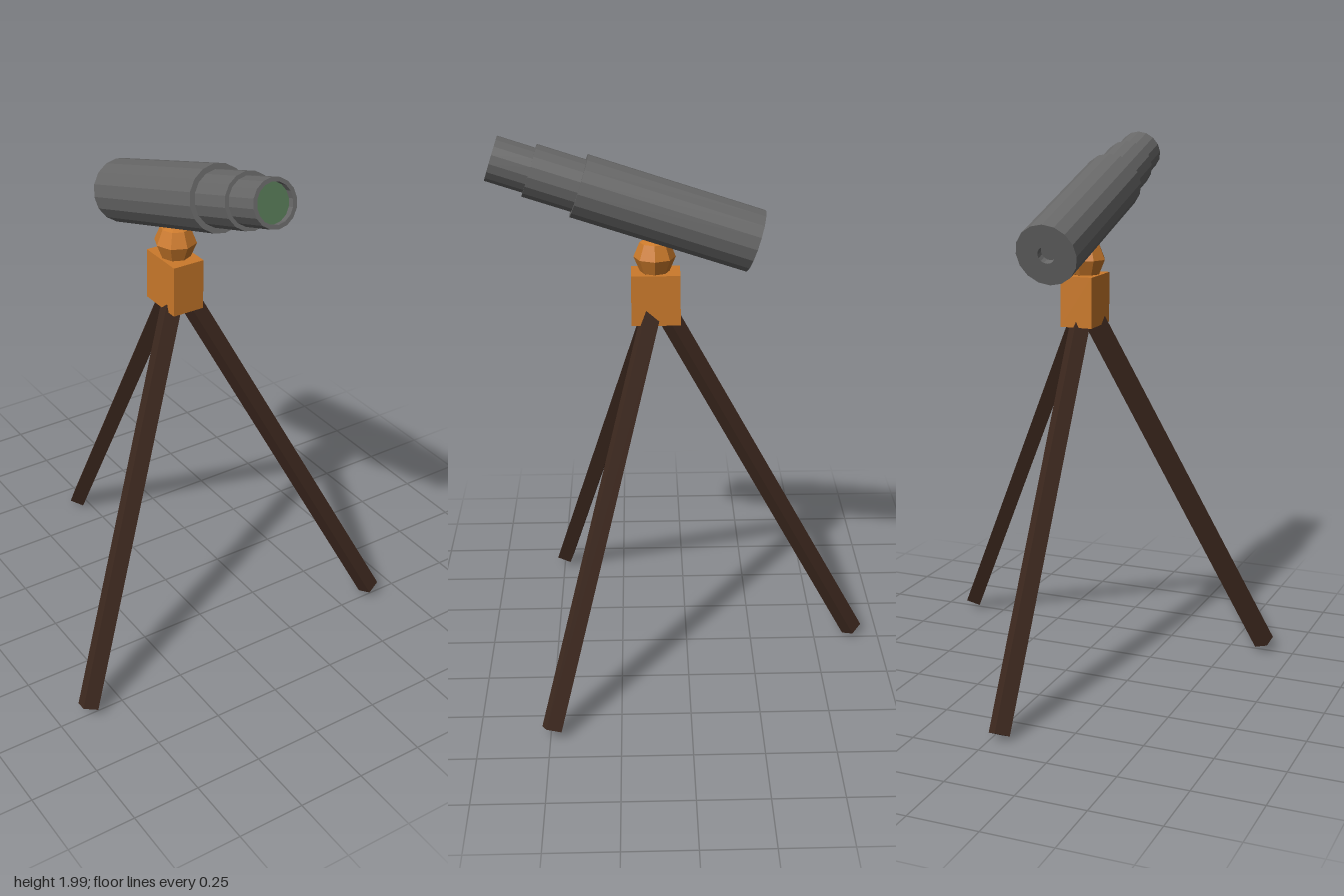
import * as THREE from 'three';

const CX = -0.03, CZ = 0.11; // tripod axis

function material(name, color) {
  const m = new THREE.MeshStandardMaterial({ color });
  m.name = name;
  return m;
}

// Split the faces so that every facet gets its own normal
function faceted(geometry) {
  const g = geometry.index ? geometry.toNonIndexed() : geometry;
  g.computeVertexNormals();
  return g;
}

export function createModel() {
  const metal = material('grey metal', 0x686868);
  const glass = material('green glass', 0x557755);
  const brass = material('orange brass', 0xcb7a2b);
  const wood = material('dark wood', 0x3e291f);
  const model = new THREE.Group();
  model.name = 'spyglassOnTripod';

  const add = (parent, name, geometry, mat) => {
    const mesh = new THREE.Mesh(faceted(geometry), mat);
    mesh.name = name;
    parent.add(mesh);
    return mesh;
  };

  // Legs: square bars set on edge, meeting inside the block
  const legs = [
    ['backLeg', [CX, 1.42, CZ], [CX, 0.02, -0.65]],
    ['leftLeg', [CX, 1.42, CZ], [0.632, 0.035, 0.495]],
    ['rightLeg', [-0.02, 1.42, CZ], [-0.636, 0.035, 0.495]],
  ];
  for (const [name, a, b] of legs) {
    const top = new THREE.Vector3(...a), foot = new THREE.Vector3(...b);
    const bar = new THREE.CylinderGeometry(0.04, 0.04, top.distanceTo(foot), 4).rotateX(Math.PI / 2);
    const leg = add(model, name, bar, wood);
    leg.position.copy(top).lerp(foot, 0.5);
    leg.lookAt(foot);
  }

  // Block and ball joint
  add(model, 'headBlock', new THREE.BoxGeometry(0.12, 0.185, 0.175), brass)
    .position.set(CX, 1.413, CZ);
  add(model, 'ballJoint', new THREE.SphereGeometry(0.075, 8, 4), brass)
    .position.set(CX, 1.56, CZ + 0.003);

  // Telescope: stepped tube along local y, tilted up towards the front
  const scope = new THREE.Group();
  scope.name = 'telescope';
  scope.position.set(CX, 1.614, -0.243);
  scope.rotation.x = Math.PI / 2 - THREE.MathUtils.degToRad(18.3);
  model.add(scope);
  const profile = [
    [0, 0.03], [0.032, 0.03], [0.032, 0], // eyepiece hole
    [0.114, 0], [0.114, 0.65], [0.095, 0.65], [0.095, 0.828],
    [0.081, 0.828], [0.081, 0.965], [0.067, 0.965], [0.067, 0.94],
  ].map(([r, y]) => new THREE.Vector2(r, y));
  add(scope, 'tube', new THREE.LatheGeometry(profile, 16), metal);
  add(scope, 'lens', new THREE.CircleGeometry(0.068, 16).rotateX(-Math.PI / 2), glass)
    .position.y = 0.942;

  return model;
}
